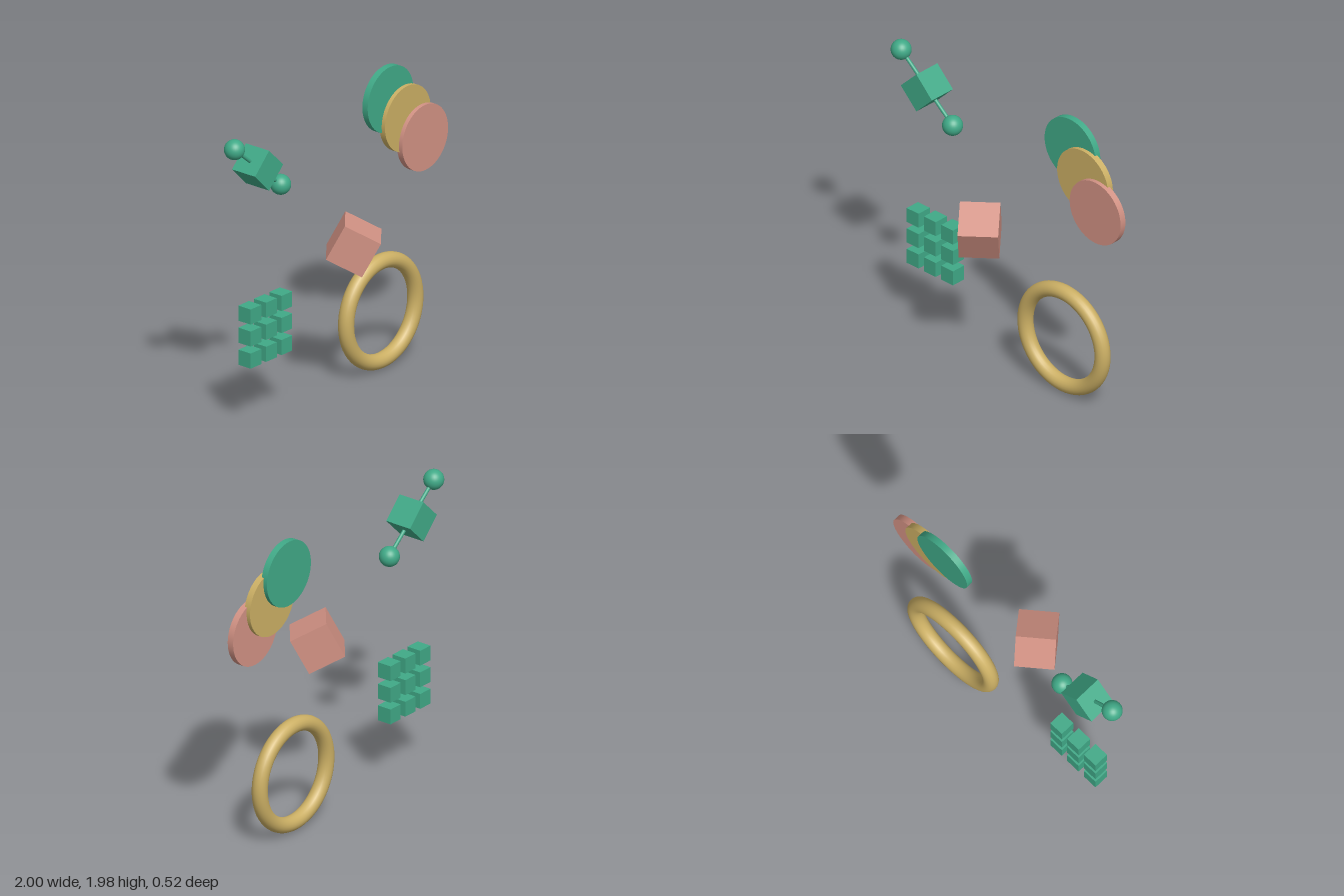
import * as THREE from 'three';

const green = new THREE.MeshStandardMaterial({ color: 0x40a987 });
green.name = 'green';
const pink = new THREE.MeshStandardMaterial({ color: 0xd29284 });
pink.name = 'pink';
const ochre = new THREE.MeshStandardMaterial({ color: 0xcbaf64 });
ochre.name = 'ochre';

const Z = -0.17; // shared plane of most parts

function add(parent, name, geometry, material, x, y, z) {
  const mesh = new THREE.Mesh(geometry, material);
  mesh.name = name;
  mesh.position.set(x, y, z);
  parent.add(mesh);
  return mesh;
}

export function createModel() {
  const model = new THREE.Group();
  model.name = 'floatingShapes';

  // Three overlapping discs, stepping down and forward
  const discs = new THREE.Group();
  discs.name = 'discs';
  const discGeo = new THREE.CylinderGeometry(0.216, 0.216, 0.043, 64).rotateX(Math.PI / 2);
  [green, ochre, pink].forEach((mat, i) => {
    add(discs, mat.name + 'Disc', discGeo, mat, 0.515 + i * 0.132, 1.765 - i * 0.16, -0.172 + i * 0.027);
  });
  model.add(discs);

  // Barbell: a cube turned on its corner, with a rod and two end balls
  const barbell = new THREE.Group();
  barbell.name = 'barbell';
  barbell.position.set(-0.718, 1.692, Z);
  add(barbell, 'barbellCube', new THREE.BoxGeometry(0.187, 0.187, 0.187), green, 0, 0, 0).rotation.z = Math.PI / 4;
  const end = new THREE.Vector2(0.218, -0.182);
  const rod = add(barbell, 'barbellRod', new THREE.CylinderGeometry(0.012, 0.012, end.length() * 2, 12), green, 0, 0, 0);
  rod.rotation.z = Math.atan2(end.y, end.x) - Math.PI / 2;
  const ballGeo = new THREE.SphereGeometry(0.065, 32, 20);
  for (const s of [-1, 1]) {
    add(barbell, s < 0 ? 'upperBall' : 'lowerBall', ballGeo, green, s * end.x, s * end.y, 0);
  }
  model.add(barbell);

  // Tilted cube in the middle
  const cube = add(model, 'tiltedCube', new THREE.BoxGeometry(0.25, 0.25, 0.25), pink, -0.064, 1.035, 0.047);
  cube.rotation.set(0.483, 0.695, 0, 'YXZ');

  // Three by three grid of small cubes
  const grid = new THREE.Group();
  grid.name = 'cubeGrid';
  const smallGeo = new THREE.BoxGeometry(0.1, 0.1, 0.1);
  for (let row = -1; row <= 1; row++) {
    for (let col = -1; col <= 1; col++) {
      add(grid, 'smallCube', smallGeo, green, -0.645 + col * 0.146, 0.602 + row * 0.146, Z);
    }
  }
  model.add(grid);

  // Ring
  add(model, 'ring', new THREE.TorusGeometry(0.327, 0.05, 20, 64), ochre, 0.445, 0.38, Z);

  return model;
}
